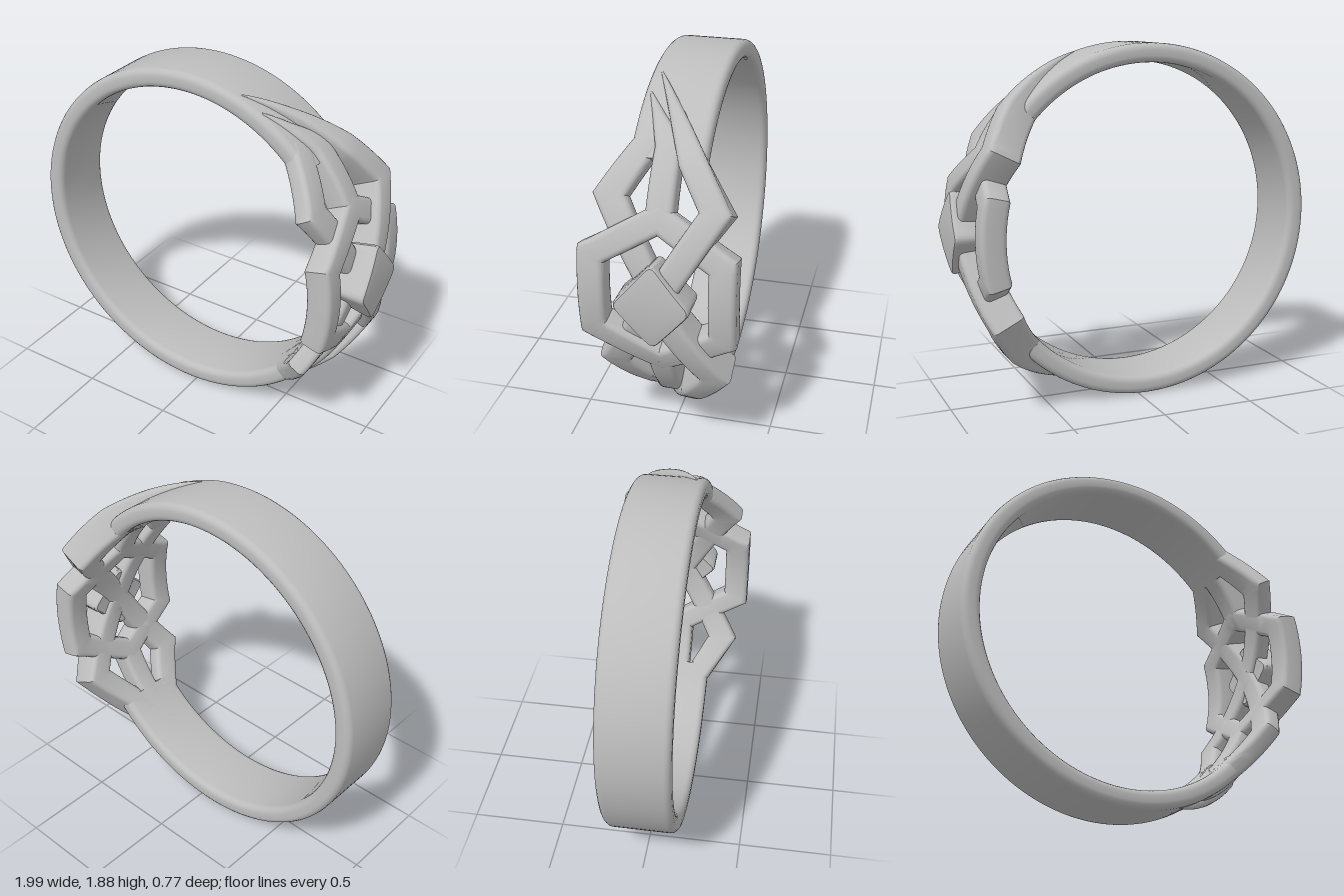
import * as THREE from 'three';
import { toCreasedNormals } from 'three/addons/utils/BufferGeometryUtils.js';

const CX = -0.058, CY = 0.942;   // ring axis, running along z
const R_IN = 0.842, R_OUT = 0.942;
const R_FLAT = 0.95;             // radius at which lengths along the ring are measured

// Wraps a flat position (z across the ring, s along it) onto a cylinder of radius r
const wrap = (z, s, r) => new THREE.Vector3(
  CX + r * Math.cos(s / R_FLAT), CY + r * Math.sin(s / R_FLAT), z);

// Joins a stack of equal point loops into a surface; open stacks get end caps
function skin(rings, closed) {
  const n = rings[0].length, m = rings.length, index = [];
  for (let i = 0; i < (closed ? m : m - 1); i++) {
    for (let j = 0; j < n; j++) {
      const k = (j + 1) % n, i2 = (i + 1) % m;
      const a = i * n + j, b = i * n + k, c = i2 * n + k, d = i2 * n + j;
      index.push(a, b, c, a, c, d);
    }
  }
  if (!closed) {
    const e = (m - 1) * n;
    for (let j = 1; j < n - 1; j++) index.push(0, j + 1, j, e, e + j, e + j + 1);
  }
  const g = new THREE.BufferGeometry().setFromPoints(rings.flat());
  g.setIndex(index);
  return toCreasedNormals(g, 0.6);
}

// Rounded rectangle section: [-1..1 share of the lateral half width, radius]
function section(width, r0, r1, round) {
  const pts = [], hw = width / 2, c = Math.min(round, hw * 0.9);
  const corners = [[1, r1 - c], [-1, r1 - c], [-1, r0 + c], [1, r0 + c]];
  corners.forEach(([side, r], q) => {
    for (let k = 0; k <= 4; k++) {
      const a = (q + k / 4) * Math.PI / 2;
      pts.push([(side * (hw - c) + c * Math.cos(a)) / hw, r + c * Math.sin(a)]);
    }
  });
  return pts;
}

// Mitred bar along flat points { z, s, w (width), r0, r1 }
function bar(points, { closed = false, round = 0.028 } = {}) {
  const n = points.length, rings = [];
  const normal = (a, b) => new THREE.Vector2(b.s - a.s, a.z - b.z).normalize();
  const sides = points.map((p, i) => {
    const prev = points[closed ? (i + n - 1) % n : i - 1];
    const next = points[closed ? (i + 1) % n : i + 1];
    const n1 = prev ? normal(prev, p) : normal(p, next);
    const n2 = next ? normal(p, next) : n1;
    const mid = n1.clone().add(n2).normalize();
    return mid.multiplyScalar(p.w / 2 / mid.dot(n1));
  });
  for (let i = 0; i < (closed ? n : n - 1); i++) {
    const a = points[i], b = points[(i + 1) % n];
    const steps = Math.ceil(Math.hypot(b.z - a.z, b.s - a.s) / 0.04);
    const last = !closed && i === n - 2;
    for (let k = 0; k < steps + (last ? 1 : 0); k++) {
      const t = k / steps, mix = key => THREE.MathUtils.lerp(a[key], b[key], t);
      const side = sides[i].clone().lerp(sides[(i + 1) % n], t);
      rings.push(section(mix('w'), mix('r0'), mix('r1'), round).map(([l, r]) =>
        wrap(mix('z') + side.x * l, mix('s') + side.y * l, r)));
    }
  }
  return skin(rings, closed);
}

// Point given by its z and height y on the outer radius; flip mirrors top to bottom
const at = (flip, z, y, w, r1, r0 = R_IN) =>
  ({ z, s: flip * R_FLAT * Math.asin((y - CY) / r1), w, r1, r0 });

// Rounded diamond plate curved around the ring
function diamond(halfZ, halfS, r0, r1) {
  const c = 0.12, shape = new THREE.Shape();
  const tips = [[halfS, 0], [0, halfZ], [-halfS, 0], [0, -halfZ]];
  tips.forEach((p, i) => {
    const before = tips[(i + 3) % 4], after = tips[(i + 1) % 4];
    const toward = q => [p[0] + (q[0] - p[0]) * c, p[1] + (q[1] - p[1]) * c];
    const start = toward(before);
    if (i) shape.lineTo(...start); else shape.moveTo(...start);
    shape.quadraticCurveTo(...p, ...toward(after));
  });
  shape.closePath();
  const outline = shape.getSpacedPoints(64).slice(0, 64);
  const profile = [[0.02, r0], [0.94, r0], [1, r0 + 0.015], [1, r1 - 0.02],
    [0.985, r1 - 0.008], [0.95, r1 - 0.001], [0.9, r1], [0.6, r1], [0.3, r1], [0.02, r1]];
  return skin(profile.map(([k, r]) => outline.map(p => wrap(p.y * k, p.x * k, r))), false);
}

export function createModel() {
  const group = new THREE.Group();
  const metal = new THREE.MeshStandardMaterial({ color: 0xbdbdbd });
  metal.name = 'grey metal';
  const add = (name, geometry) => {
    const mesh = new THREE.Mesh(geometry, metal);
    mesh.name = name;
    group.add(mesh);
  };

  // Plain band, open where the woven front sits
  const end = 0.71;
  add('band', bar([end, Math.PI * 2 - end].map(a =>
    ({ z: 0, s: a * R_FLAT, w: 0.37, r0: R_IN, r1: R_OUT })), { round: 0.035 }));

  // Hexagonal frame
  const hex = [[0, 1.335, 1], [0.318, 1.145, 1], [0.318, 1.145, -1],
    [0, 1.335, -1], [-0.318, 1.145, -1], [-0.318, 1.145, 1]];
  add('hexagonFrame', bar(hex.map(([z, y, f]) => at(f, z, y, 0.135, 0.975)), { closed: true }));

  // Strands and struts, mirrored top to bottom
  for (const [label, f] of [['upper', 1], ['lower', -1]]) {
    add(label + 'OverStrand', bar([
      at(f, 0.13, 1.835, 0.01, 0.945),
      at(f, -0.13, 1.6, 0.13, 1.02),
      at(f, -0.272, 1.4, 0.135, 1.02),
      at(f, 0, CY, 0.135, 1.02),
    ]));
    add(label + 'UnderStrand', bar([
      at(f, 0.09, 1.65, 0.13, 0.944),
      at(f, 0.255, 1.405, 0.15, 0.944),
      at(f, 0, CY, 0.13, 0.944),
    ]));
    add(label + 'Strut', bar([
      at(f, 0, 1.33, 0.135, 0.974),
      at(f, 0, 1.63, 0.13, 0.974),
      at(f, 0.15, 1.78, 0.01, 0.947),
    ]));
  }

  // Raised plate over the crossing
  add('diamondPlate', diamond(0.195, 0.212, 0.86, 1.05));
  return group;
}
